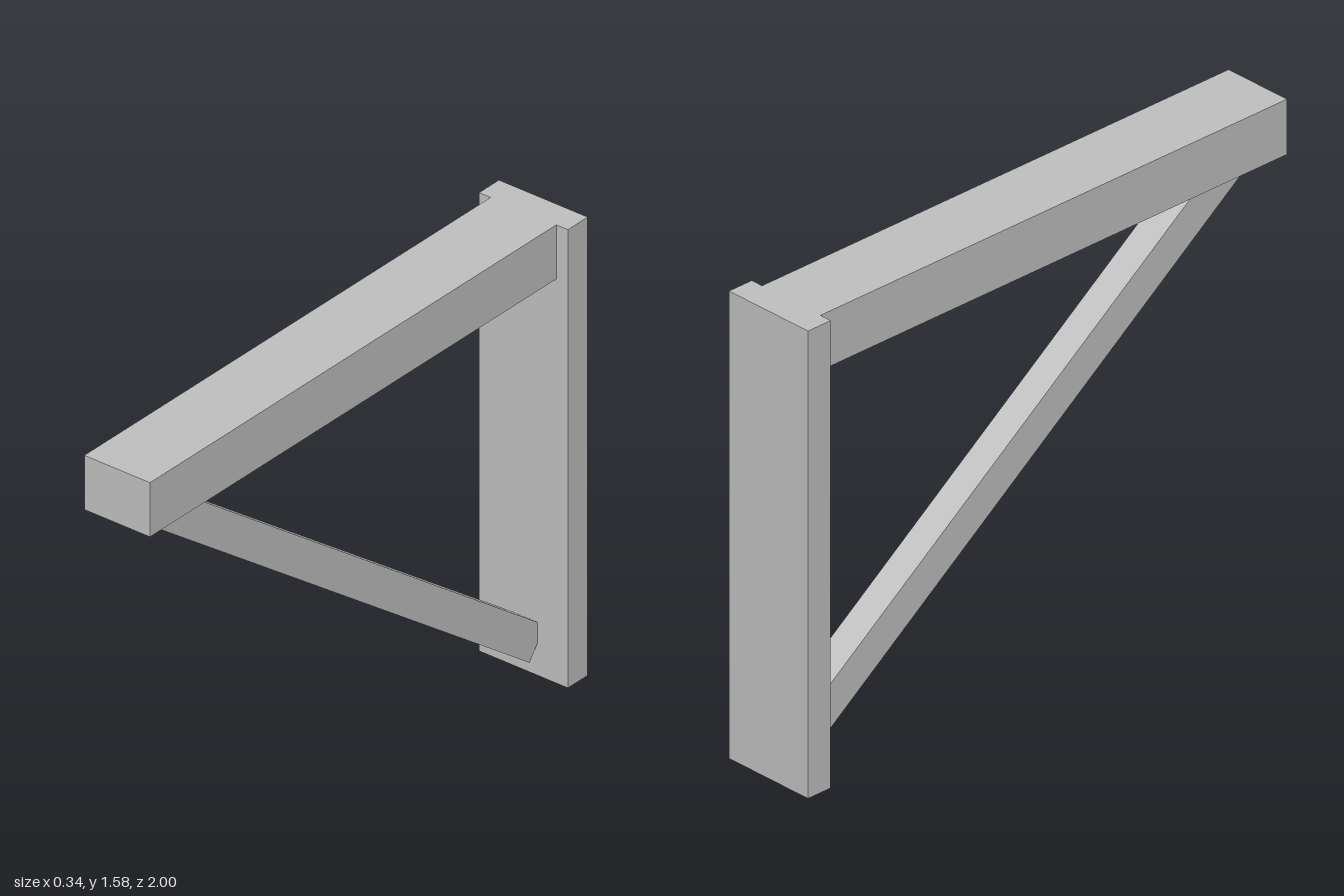
import * as THREE from 'three';

export function createModel() {
  const group = new THREE.Group();
  const grey = new THREE.MeshStandardMaterial({ color: 0xc0c0c0 });
  grey.name = 'grey';

  function bar(name, size, position, tilt = 0) {
    const mesh = new THREE.Mesh(new THREE.BoxGeometry(...size), grey);
    mesh.name = name;
    mesh.position.set(...position);
    mesh.rotation.x = tilt;
    group.add(mesh);
  }

  // Upright plate at the back
  bar('wallPost', [0.338, 1.58, 0.093], [0, 0.79, -0.9535]);
  // Horizontal arm, flush with the top of the post
  bar('topBeam', [0.25, 0.187, 1.907], [0, 1.4865, 0.0465]);
  // Diagonal strut, its ends sunk into the post and the arm
  bar('diagonalBrace', [0.106, 0.121, 2.168], [0, 0.749, -0.031], -Math.atan2(1.28, 1.75));

  return group;
}
